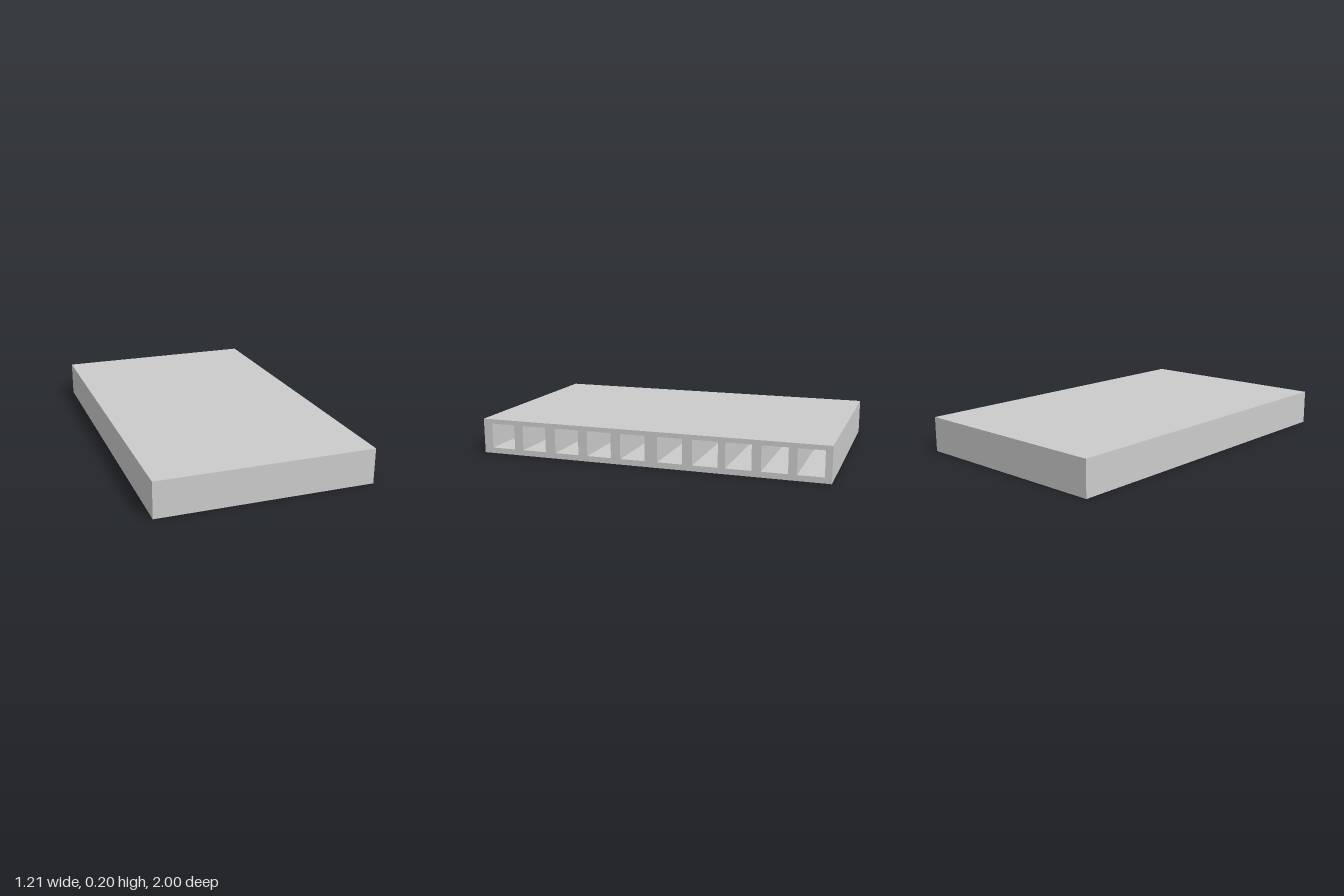
import * as THREE from 'three';

const LENGTH = 2, WIDTH = 1.21, HEIGHT = 0.2;
const CORE = 0.142, CORE_Y = 0.103, END_WALL = 0.04;
const CORE_Z = [0.876, 0.68, 0.477, 0.281, 0.083, -0.131, -0.329, -0.511, -0.704, -0.892];

// Box without its +x face; inward turns the faces to the inside
function openBox(w, h, d, inward = false) {
  const geometry = new THREE.BoxGeometry(w, h, d);
  const index = Array.from(geometry.index.array).slice(6);
  geometry.setIndex(inward ? index.reverse() : index);
  geometry.clearGroups();
  geometry.computeVertexNormals();
  return geometry;
}

function rectangle(path, cx, cy, w, h) {
  path.moveTo(cx - w / 2, cy - h / 2);
  path.lineTo(cx + w / 2, cy - h / 2);
  path.lineTo(cx + w / 2, cy + h / 2);
  path.lineTo(cx - w / 2, cy + h / 2);
  path.closePath();
  return path;
}

export function createModel() {
  const group = new THREE.Group();
  group.name = 'hollowCoreSlab';
  const material = new THREE.MeshStandardMaterial({ color: 0xcccccc });
  const add = (name, geometry, x, y, z) => {
    const mesh = new THREE.Mesh(geometry, material);
    mesh.name = name;
    mesh.position.set(x, y, z);
    group.add(mesh);
  };

  // Outer faces of the slab, closed on all sides but +x
  add('slabShell', openBox(WIDTH, HEIGHT, LENGTH), 0, HEIGHT / 2, 0);

  // Side face pierced by the row of square openings (shape x runs along -z)
  const face = rectangle(new THREE.Shape(), 0, HEIGHT / 2, LENGTH, HEIGHT);
  for (const z of CORE_Z) {
    face.holes.push(rectangle(new THREE.Path(), -z, CORE_Y, CORE, CORE));
  }
  add('piercedSide', new THREE.ShapeGeometry(face).rotateY(Math.PI / 2), WIDTH / 2, 0, 0);

  // Square channels running in from the openings, closed at the far end
  const channel = openBox(WIDTH - END_WALL, CORE, CORE, true);
  CORE_Z.forEach((z, i) => add(`channel${i + 1}`, channel, END_WALL / 2, CORE_Y, z));

  return group;
}
